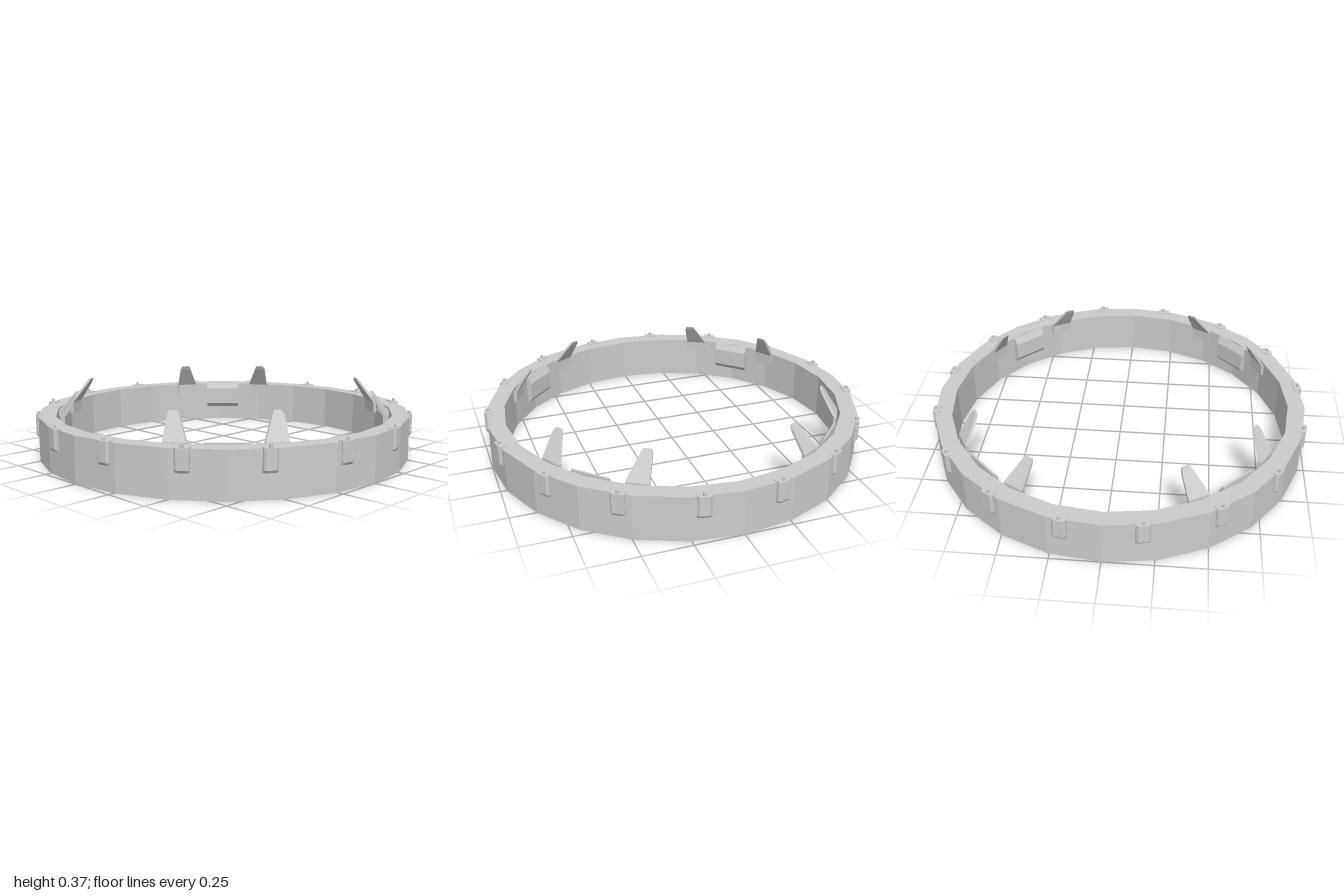
import * as THREE from 'three';

const material = new THREE.MeshStandardMaterial({ color: 0xcccccc, flatShading: true });

// Solid through matching loops of [x, y, z], each counter-clockwise seen from the last loop's end
function loft(loops) {
  const pos = [];
  const tri = (a, b, c) => pos.push(...a, ...b, ...c);
  const n = loops[0].length;
  for (let k = 0; k < loops.length - 1; k++) {
    const a = loops[k], b = loops[k + 1];
    for (let i = 0; i < n; i++) {
      const j = (i + 1) % n;
      tri(a[i], a[j], b[j]);
      tri(a[i], b[j], b[i]);
    }
  }
  const first = loops[0], last = loops[loops.length - 1];
  for (let i = 1; i < n - 1; i++) {
    tri(first[0], first[i + 1], first[i]);
    tri(last[0], last[i], last[i + 1]);
  }
  const g = new THREE.BufferGeometry();
  g.setAttribute('position', new THREE.Float32BufferAttribute(pos, 3));
  g.computeVertexNormals();
  return g;
}

// Leaning fin: a short upright foot, then a blade bent towards the centre.
// The edge facing the plate tapers, the other stays straight.
function finGeometry(side) {
  const rows = [ // y, outer radius, inner radius, straight edge, tapered edge
    [0.175, 0.892, 0.876, -0.06, 0.055],
    [0.235, 0.892, 0.874, -0.06, 0.055],
    [0.345, 0.818, 0.802, -0.06, 0.0],
    [0.365, 0.804, 0.792, -0.052, -0.01],
  ];
  return loft(rows.map(([y, ro, ri, s, t]) => {
    const x0 = Math.min(s * side, t * side), x1 = Math.max(s * side, t * side);
    return [[x0, y, ro], [x1, y, ro], [x1, y, ri], [x0, y, ri]];
  }));
}

// Clip with chamfered sides and a chamfered lower edge
function clipGeometry() {
  const rows = [[0.125, 1.003], [0.138, 1.012], [0.239, 1.012]]; // y, face radius
  return loft(rows.map(([y, r]) => [
    [-0.035, y, 0.97], [-0.035, y, r - 0.01], [-0.025, y, r],
    [0.025, y, r], [0.035, y, r - 0.01], [0.035, y, 0.97],
  ]));
}

// Inner plate with slanted top and bottom edges, profile as [radius, y]
function plateGeometry() {
  const profile = [[0.89, 0.24], [0.89, 0.085], [0.88, 0.085], [0.86, 0.11], [0.86, 0.205], [0.88, 0.24]];
  return loft([-0.1, 0.1].map(x => profile.map(([z, y]) => [x, y, z])));
}

export function createModel() {
  const model = new THREE.Group();

  // Places a part made at +z at a given angle around the ring
  const add = (name, geometry, degrees = 0) => {
    const mesh = new THREE.Mesh(geometry, material);
    mesh.name = name;
    mesh.rotation.y = THREE.MathUtils.degToRad(degrees);
    model.add(mesh);
  };

  // 24-sided band
  const band = [[0.91, 0], [1, 0], [1, 0.235], [0.91, 0.235], [0.91, 0]];
  add('ring', new THREE.LatheGeometry(band.map(p => new THREE.Vector2(...p)), 24));

  // Sixteen clips with small pins on top
  const clip = clipGeometry();
  const pin = new THREE.CylinderGeometry(0.008, 0.008, 0.022, 10).translate(0, 0.243, 0.996);
  for (let i = 0; i < 16; i++) {
    add('clip', clip, 11.25 + i * 22.5);
    add('clipPin', pin, 11.25 + i * 22.5);
  }

  // Four inner plates, each between a mirrored pair of fins
  const plate = plateGeometry(), finA = finGeometry(1), finB = finGeometry(-1);
  for (let i = 0; i < 4; i++) {
    const angle = 45 + i * 90;
    add('innerPlate', plate, angle);
    add('fin', finA, angle - 15);
    add('fin', finB, angle + 15);
  }
  return model;
}
